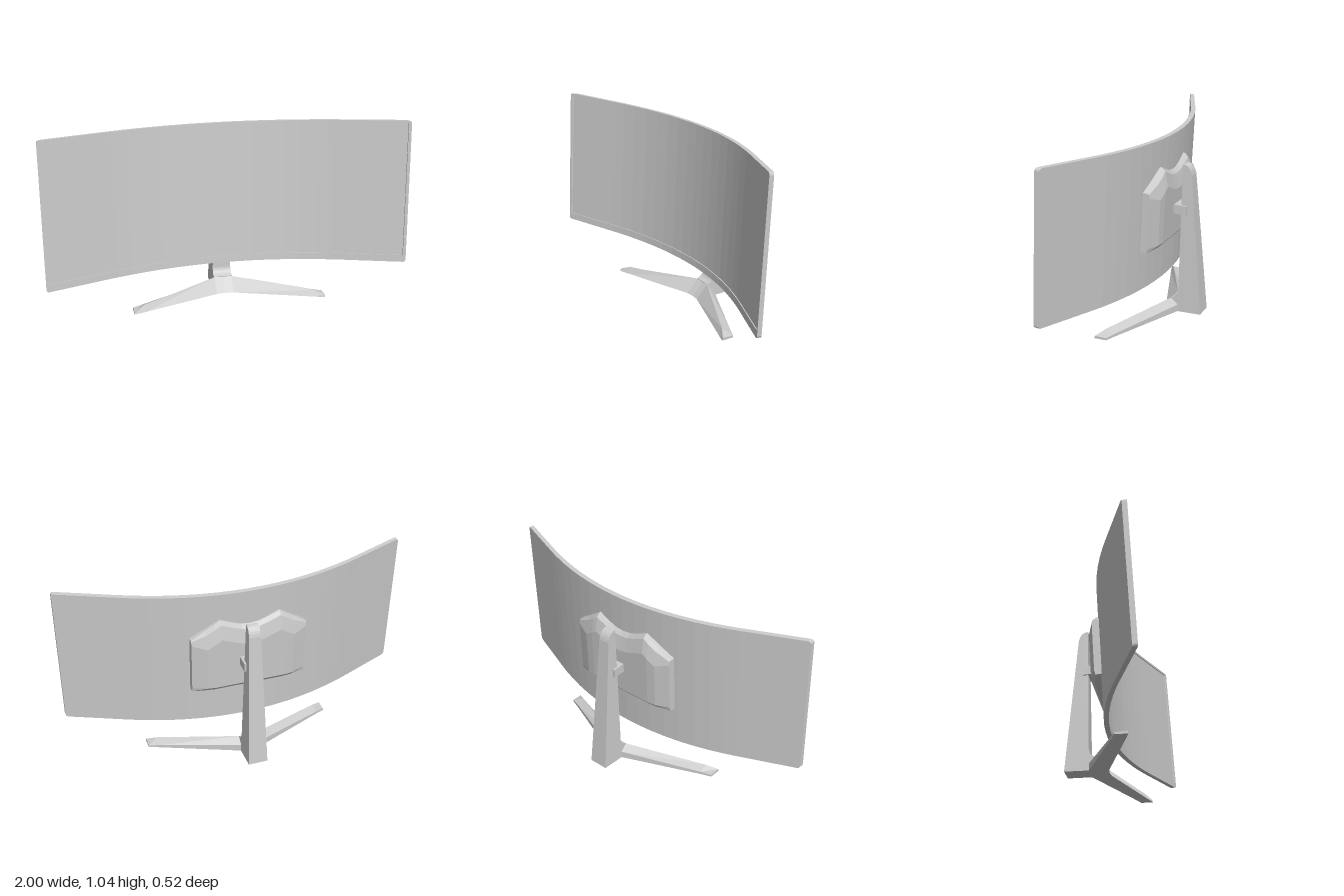
import * as THREE from 'three';

const grey = new THREE.MeshStandardMaterial({ color: 0xcccccc, flatShading: true });

function mesh(name, geometry) {
  const m = new THREE.Mesh(geometry, grey);
  m.name = name;
  return m;
}

// Solid through sections along x; section(x) lists [y, z] as
// front bottom, front top, back top ... back bottom.
function loft(xs, section, place = p => p) {
  const rings = xs.map(x => section(x).map(([y, z]) => place([x, y, z])));
  const n = rings[0].length, pos = [];
  const tri = (a, b, c) => pos.push(...a, ...b, ...c);
  for (let i = 0; i < rings.length - 1; i++) {
    for (let j = 0; j < n; j++) {
      const k = (j + 1) % n, A = rings[i], B = rings[i + 1];
      tri(A[j], B[j], B[k]);
      tri(A[j], B[k], A[k]);
    }
  }
  const first = rings[0], last = rings[rings.length - 1];
  for (let j = 1; j < n - 1; j++) {
    tri(first[0], first[j], first[j + 1]);
    tri(last[0], last[j + 1], last[j]);
  }
  const g = new THREE.BufferGeometry();
  g.setAttribute('position', new THREE.Float32BufferAttribute(pos, 3));
  g.computeVertexNormals();
  return g;
}

// Piecewise linear lookup through [x, value] pairs
function lerpTable(table, x) {
  for (let i = 1; i < table.length; i++) {
    const [x0, v0] = table[i - 1], [x1, v1] = table[i];
    if (x <= x1) return v0 + (v1 - v0) * (x - x0) / (x1 - x0);
  }
  return table[table.length - 1][1];
}

const mirrored = list => [...list.filter(x => x > 0).map(x => -x).reverse(), ...list];

// Backward tilt shared by the display and its rear housing
const tilt = ([x, y, z]) => [x, y + 0.09 * (z + 0.053), z - 0.0565 * (y - 0.605)];

// Panel curve: bent in the middle, straight towards the ends
function backZ(x) {
  const a = Math.abs(x), bend = 0.675, slope = 0.4;
  return -0.053 + (a < bend ? slope * a * a / (2 * bend) : slope * (a - bend / 2));
}

function createDisplay() {
  const group = new THREE.Group();
  group.name = 'display';
  const bottom = 0.2, top = 1.01, thick = 0.027, lip = 0.006, side = 0.985;
  const inner = mirrored([0, 0.08, 0.17, 0.26, 0.35, 0.44, 0.53, 0.61, 0.675, side]);
  const ends = [0.992, 0.997, 1];
  const inset = x => lerpTable([[side, 0], [0.992, 0.002], [0.997, 0.006], [1, 0.014]], Math.max(side, Math.abs(x)));
  // Box-like strip from y0 to y1 between depths d0 and d1 behind the curve
  const strip = (xs, y0, y1, d0, d1) => loft(xs, x => {
    const z = backZ(x), c = inset(x);
    return [[y0 + c, z + d1], [y1 - c, z + d1], [y1 - c, z + d0], [y0 + c, z + d0]];
  }, tilt);

  const all = [...ends.map(x => -x).reverse(), ...inner, ...ends];
  group.add(mesh('screenPanel', strip(all, bottom, top, 0, thick - lip)));
  group.add(mesh('topBezel', strip(inner, top - 0.014, top, thick - lip, thick)));
  group.add(mesh('bottomBezel', strip(inner, bottom, bottom + 0.04, thick - lip, thick)));
  group.add(mesh('leftBezel', strip([side, ...ends], bottom, top, thick - lip, thick)));
  group.add(mesh('rightBezel', strip([...ends.map(x => -x).reverse(), -side], bottom, top, thick - lip, thick)));
  return group;
}

// Chamfered housing with a scooped top edge
function createHousing() {
  const top = [[0, 0.81], [0.05, 0.815], [0.1, 0.832], [0.17, 0.86], [0.33, 0.755]];
  const back = [[0, -0.096], [0.2, -0.096], [0.25, -0.09], [0.33, -0.06]];
  const xs = mirrored([0, 0.05, 0.1, 0.17, 0.2, 0.25, 0.33]);
  return mesh('rearHousing', loft(xs, x => {
    const a = Math.abs(x), t = lerpTable(top, a), b = lerpTable(back, a);
    const front = backZ(a) + 0.005, soft = lerpTable([[0, 1], [0.25, 1], [0.33, 0.25]], a);
    return [
      [0.425, front], [t, front], [t, Math.min(front, b + 0.04 * soft)],
      [t - 0.02 * soft, b + 0.02 * soft], [t - 0.1 * soft, b],
      [0.45, b], [0.425, b + 0.02 * soft],
    ];
  }, tilt));
}

const standX = 0.017;

// Upright column: side profile with a rounded head, narrowing upwards
function createColumn() {
  const s = new THREE.Shape();
  s.moveTo(0.26, 0);
  s.lineTo(0.196, 0.795);
  s.quadraticCurveTo(0.185, 0.853, 0.143, 0.853);
  s.lineTo(0.127, 0.12);
  s.quadraticCurveTo(0.122, 0.085, 0.085, 0.077);
  s.lineTo(0.1, 0);
  const g = new THREE.ExtrudeGeometry(s, { depth: 2, bevelEnabled: false, curveSegments: 6 });
  g.translate(0, 0, -1);
  g.rotateY(Math.PI / 2);
  const p = g.attributes.position;
  for (let i = 0; i < p.count; i++) {
    p.setX(i, p.getX(i) * (0.056 - 0.024 * p.getY(i) / 0.853));
  }
  g.computeVertexNormals();
  const m = mesh('column', g);
  m.position.x = standX;
  return m;
}

// Two splayed feet forming a V, tapering to chamfered tips
function createFeet() {
  const frontFoot = [[0, -0.02], [0.05, -0.015], [0.49, 0.135], [0.55, 0.155]];
  const ridgeZ = [[0, -0.09], [0.05, -0.085], [0.49, 0.115], [0.55, 0.15]];
  const ridgeY = [[0, 0.078], [0.05, 0.076], [0.49, 0.035], [0.55, 0.015]];
  const rearZ = [[0, -0.145], [0.05, -0.127], [0.49, 0.062], [0.55, 0.085]];
  const rearY = [[0, 0.04], [0.05, 0.04], [0.49, 0.016], [0.55, 0.012]];
  const m = mesh('feet', loft(mirrored([0, 0.05, 0.49, 0.55]), x => {
    const at = t => lerpTable(t, Math.abs(x));
    return [[0, at(frontFoot)], [at(ridgeY), at(ridgeZ)], [at(rearY), at(rearZ)], [0, at(rearZ)]];
  }));
  m.position.x = standX;
  return m;
}

export function createModel() {
  const model = new THREE.Group();
  model.name = 'curvedMonitor';
  model.add(createDisplay(), createHousing());

  // Arm joining the housing to the column
  const arm = mesh('mountArm', new THREE.BoxGeometry(0.1, 0.05, 0.09));
  arm.position.set(standX, 0.6, -0.125);
  arm.rotation.x = -0.08;
  model.add(arm);

  const stand = new THREE.Group();
  stand.name = 'stand';
  stand.add(createColumn(), createFeet());
  model.add(stand);
  return model;
}
